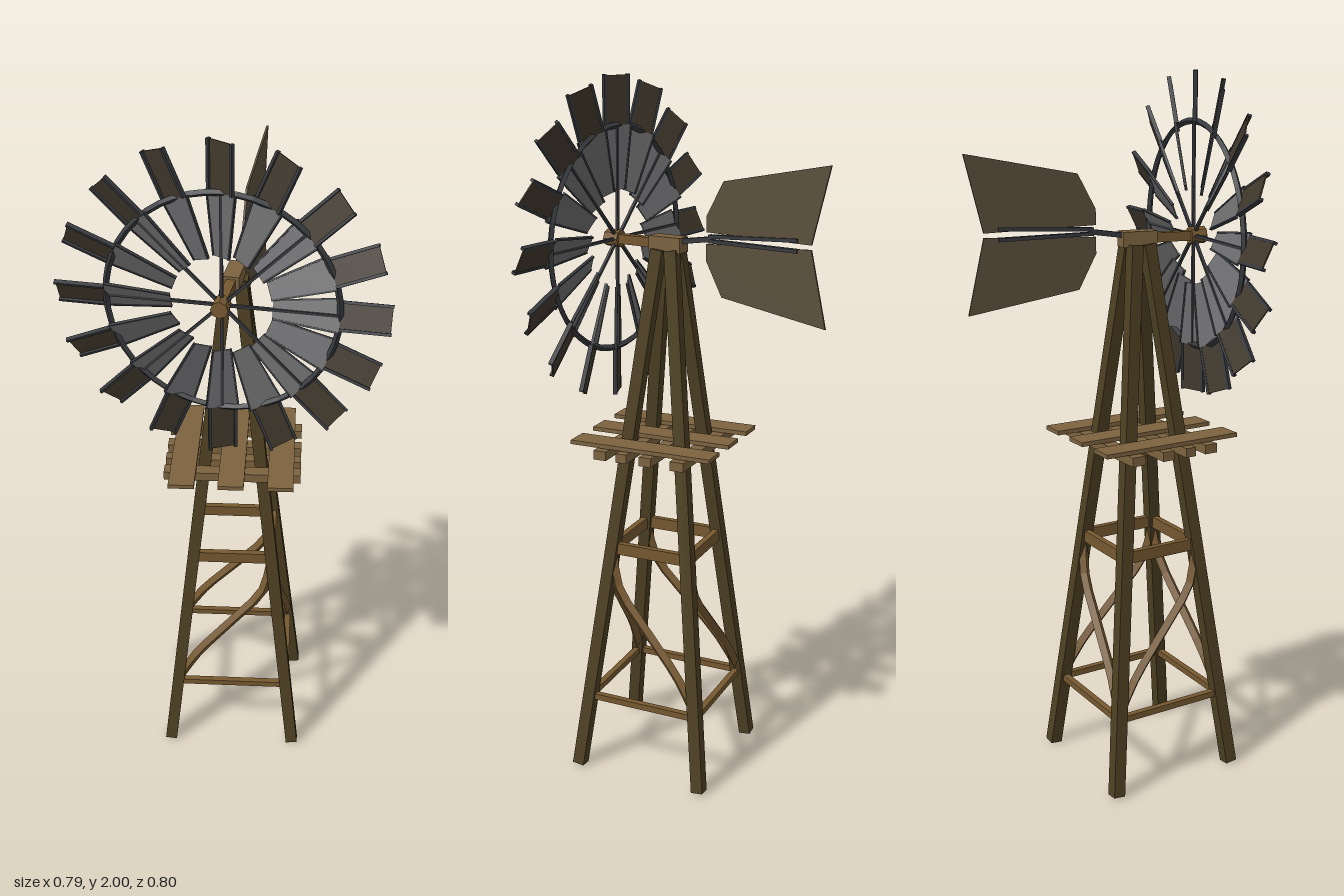
import * as THREE from 'three';

const mat = (color) => new THREE.MeshStandardMaterial({ color, flatShading: true, side: THREE.DoubleSide });
const V = (x, y, z) => new THREE.Vector3(x, y, z);
const rad = THREE.MathUtils.degToRad;

export function createModel() {
  const model = new THREE.Group();
  model.name = 'windPump';
  const darkWood = mat(0x4d3f22), plankWood = mat(0x7d6340), braceWood = mat(0x755830);
  const steel = mat(0x6c6c6e), darkSteel = mat(0x36383c), rust = mat(0x40382c), vaneMat = mat(0x5a4f3c);

  const add = (parent, name, geometry, material, x = 0, y = 0, z = 0) => {
    const mesh = new THREE.Mesh(geometry, material);
    mesh.name = name;
    mesh.position.set(x, y, z);
    parent.add(mesh);
    return mesh;
  };
  // straight rectangular beam between two points
  const beam = (parent, name, a, b, w, d, material) => {
    const mesh = add(parent, name, new THREE.BoxGeometry(w, a.distanceTo(b), d), material);
    mesh.position.copy(a).lerp(b, 0.5);
    mesh.quaternion.setFromUnitVectors(V(0, 1, 0), b.clone().sub(a).normalize());
    return mesh;
  };
  // thin flat plate from outline points, centred on its thickness
  const plate = (points, t) => {
    const shape = new THREE.Shape(points.map(([x, y]) => new THREE.Vector2(x, y)));
    return new THREE.ExtrudeGeometry(shape, { depth: t, bevelEnabled: false }).translate(0, 0, -t / 2);
  };

  // ---- tower ----
  const tower = new THREE.Group();
  tower.name = 'tower';
  tower.position.set(-0.0625, 0, -0.04);
  tower.rotation.y = rad(50.8);
  model.add(tower);

  const topY = 1.54;
  const corner = (sx, sz, y) => {
    const h = THREE.MathUtils.lerp(0.193, 0.02, y / topY);
    return V(sx * h, y, sz * h);
  };
  const corners = [[-1, -1], [-1, 1], [1, 1], [1, -1]];
  corners.forEach(([sx, sz], i) => {
    beam(tower, 'leg', corner(sx, sz, 0.005), corner(sx, sz, topY), 0.035, 0.035, darkWood);
    const [nx, nz] = corners[(i + 1) % 4];
    beam(tower, 'lowerRail', corner(sx, sz, 0.225), corner(nx, nz, 0.225), 0.018, 0.018, braceWood);
    // upper rail: tall board on each side
    const a = corner(sx, sz, 0.685), b = corner(nx, nz, 0.685);
    const alongX = sx !== nx;
    add(tower, 'upperRail', new THREE.BoxGeometry(alongX ? a.distanceTo(b) : 0.018, 0.034, alongX ? 0.018 : a.distanceTo(b)),
      braceWood, (a.x + b.x) / 2, 0.685, (a.z + b.z) / 2);
  });

  // S-shaped diagonal on each side
  [[0, 1], [0, 3], [1, 2], [3, 2]].forEach(([lo, hi]) => {
    const pts = [[0, 0], [0.16, 0.22], [0.5, 0.5], [0.86, 0.76], [1, 1]].map(([s, t]) => {
      const y = THREE.MathUtils.lerp(0.235, 0.675, t);
      return corner(...corners[lo], y).lerp(corner(...corners[hi], y), s);
    });
    add(tower, 'diagonalBrace', new THREE.TubeGeometry(new THREE.CatmullRomCurve3(pts), 10, 0.015, 4), braceWood);
  });

  // platform: three planks over four slats
  [-0.139, 0, 0.139].forEach((x) =>
    add(tower, 'platformPlank', new THREE.BoxGeometry(0.073, 0.012, 0.42), plankWood, x, 1.007, 0.008));
  [[-0.114, 0.04], [-0.02, 0.036], [0.052, 0.032], [0.118, 0.038]].forEach(([z, w]) =>
    add(tower, 'platformSlat', new THREE.BoxGeometry(0.39, 0.026, w), plankWood, 0, 0.986, z));

  // ---- head ----
  const head = new THREE.Group();
  head.name = 'head';
  head.position.copy(tower.position);
  head.rotation.y = rad(42.5);
  model.add(head);
  add(head, 'headBlock', new THREE.BoxGeometry(0.045, 0.042, 0.1), plankWood, 0, 1.555, 0);
  add(head, 'shaft', new THREE.BoxGeometry(0.026, 0.026, 0.14), braceWood, 0, 1.555, 0.11);
  add(head, 'hub', new THREE.CylinderGeometry(0.024, 0.024, 0.045, 8).rotateX(Math.PI / 2), braceWood, 0, 1.555, 0.178);

  // tail rod forks to carry the two vane halves
  beam(head, 'tailRod', V(0, 1.565, -0.04), V(0, 1.58, -0.14), 0.014, 0.014, darkSteel);
  [1, -1].forEach((s) =>
    beam(head, 'tailFork', V(0, 1.58 + s * 0.006, -0.13), V(0, 1.585 + s * 0.014, -0.395), 0.016, 0.01, darkSteel));
  const vanes = [
    [[-0.482, 1.795], [-0.172, 1.735], [-0.122, 1.64], [-0.122, 1.597], [-0.434, 1.59]],
    [[-0.482, 1.375], [-0.172, 1.425], [-0.122, 1.52], [-0.122, 1.565], [-0.434, 1.578]],
  ];
  vanes.forEach((pts) => {
    add(head, 'tailVane', plate(pts, 0.006), vaneMat).rotation.y = -Math.PI / 2;
  });

  // ---- wheel ----
  const wheel = new THREE.Group();
  wheel.name = 'wheel';
  wheel.position.set(0, 1.555, 0.168);
  head.add(wheel);
  add(wheel, 'rim', new THREE.TorusGeometry(0.31, 0.009, 4, 48), darkSteel);
  const count = 16, r0 = 0.135, r1 = 0.31, r2 = 0.442;
  const innerPlate = plate([[-0.024, r0], [0.024, r0], [0.044, r1], [-0.044, r1]], 0.004);
  const outerPlate = plate([[-0.036, r1], [0.036, r1], [0.036, r2], [-0.036, r2]], 0.004);
  for (let i = 0; i < count; i++) {
    const spin = new THREE.Group();
    spin.name = 'bladeArm';
    spin.rotation.z = (i / count) * Math.PI * 2;
    wheel.add(spin);
    const blade = new THREE.Group();
    blade.name = 'blade';
    blade.rotation.y = rad(-26);
    spin.add(blade);
    add(blade, 'innerBlade', innerPlate, steel);
    add(blade, 'outerBlade', outerPlate, rust);
    // folded lips along both edges
    [1, -1].forEach((s) => {
      beam(blade, 'innerLip', V(s * 0.024, r0, 0), V(s * 0.044, r1, 0), 0.005, 0.008, darkSteel);
      beam(blade, 'outerLip', V(s * 0.036, r1, 0.003), V(s * 0.036, r2 + 0.002, 0.003), 0.008, 0.012, darkSteel);
    });
    if (i % 2 === 0) beam(spin, 'spoke', V(0, 0.015, 0), V(0, r1, 0), 0.008, 0.008, darkSteel);
  }
  return model;
}
